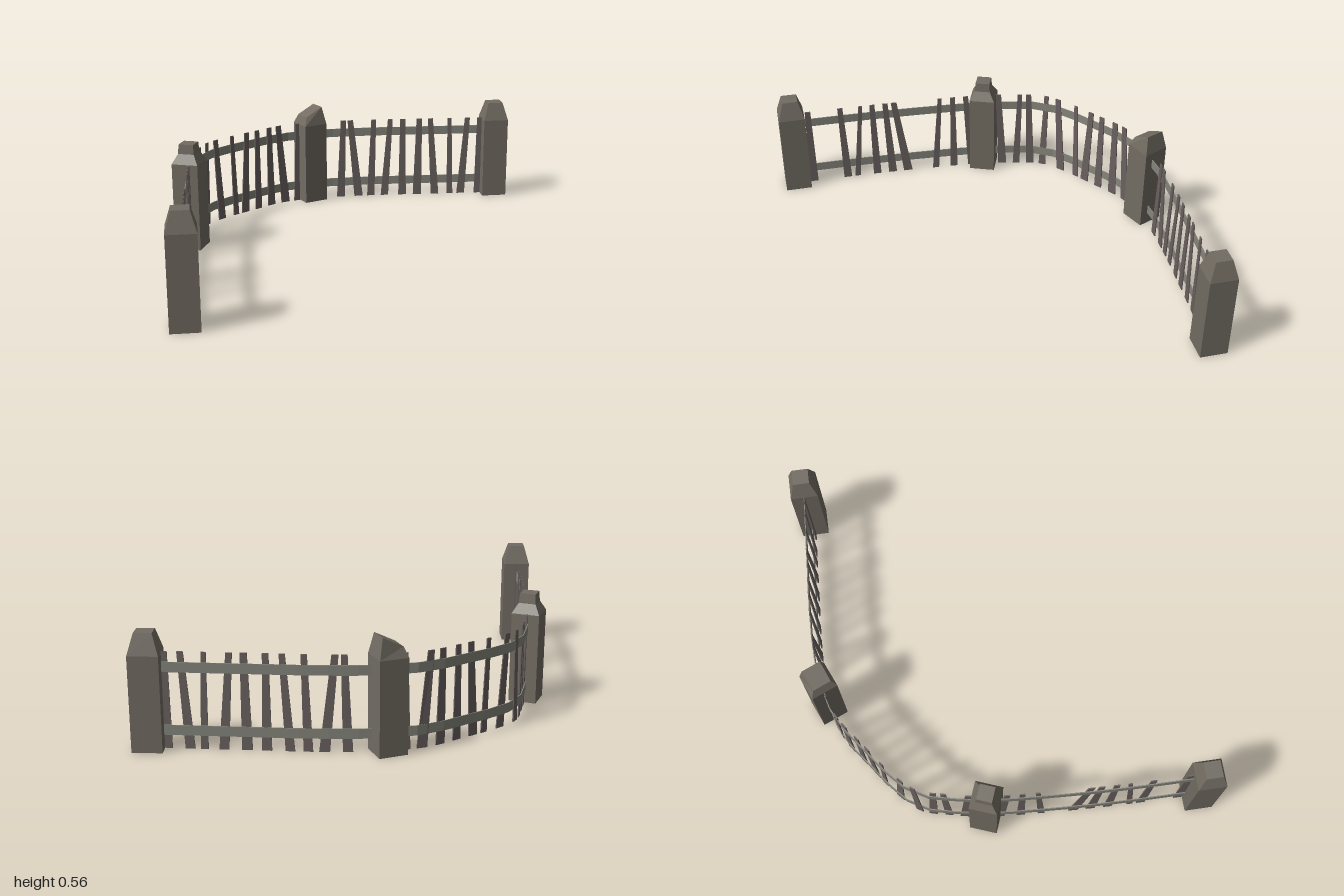
import * as THREE from 'three';

const mat = (color) => new THREE.MeshStandardMaterial({ color, flatShading: true, side: THREE.DoubleSide });
const postMat = mat(0x726c62), picketMat = mat(0x6a6160), railMat = mat(0x85857c);

// Ground line of the fence, as [x, z]
const line = new THREE.CatmullRomCurve3([
  [-0.925, 0.92], [-0.92, 0.5], [-0.905, 0.15], [-0.88, -0.17], [-0.845, -0.35], [-0.8, -0.5],
  [-0.7, -0.61], [-0.52, -0.745], [-0.37, -0.85], [-0.26, -0.89], [-0.1, -0.92], [0.13, -0.928],
  [0.5, -0.912], [0.92, -0.89],
].map(([x, z]) => new THREE.Vector3(x, 0, z)));
const STEPS = 400;
const samples = line.getSpacedPoints(STEPS);

// Point, direction and inward normal where the line reaches a given x or z
function frameAt(t) {
  const p = line.getPointAt(t), dir = line.getTangentAt(t);
  return { p, dir, inward: new THREE.Vector3(-dir.z, 0, dir.x) };
}
function find(axis, value) {
  const i = samples.findIndex((s) => (axis === 'x' ? s.x >= value : s.z <= value));
  return frameAt(Math.max(i, 0) / STEPS);
}

// Skin over four-cornered rings, with optional end caps
function loft(rings, capStart, capEnd) {
  const index = [];
  for (let i = 0; i < rings.length - 1; i++) {
    for (let j = 0; j < 4; j++) {
      const a = i * 4 + j, b = i * 4 + (j + 1) % 4;
      index.push(a, b, b + 4, a, b + 4, a + 4);
    }
  }
  const e = (rings.length - 1) * 4;
  if (capStart) index.push(0, 2, 1, 0, 3, 2);
  if (capEnd) index.push(e, e + 1, e + 2, e, e + 2, e + 3);
  const g = new THREE.BufferGeometry().setFromPoints(rings.flat());
  g.setIndex(index);
  g.computeVertexNormals();
  return g;
}

function add(parent, name, geometry, material) {
  const m = new THREE.Mesh(geometry, material);
  m.name = name;
  parent.add(m);
  return m;
}

// Square post, open below; sections are [height, half width, slope]
function addPost(parent, x, z, angle, sections) {
  const rings = sections.map(([y, h, slope = 0]) =>
    [[-h, h], [h, h], [h, -h], [-h, -h]].map(([px, pz]) => new THREE.Vector3(px, y + slope * px, pz)));
  const post = add(parent, 'post', loft(rings, false, true), postMat);
  post.position.set(x, 0, z);
  post.rotation.y = angle;
}

// Flat rail following the line
function addRail(parent, name, y, t0, t1) {
  const h = 0.024, d = 0.0025, n = 24, rings = [];
  for (let i = 0; i <= n; i++) {
    const { p, inward } = frameAt(t0 + (t1 - t0) * i / n);
    rings.push([[-h, -d], [h, -d], [h, d], [-h, d]].map(([u, v]) =>
      p.clone().addScaledVector(inward, v).setY(y + u)));
  }
  add(parent, name, loft(rings, true, true), railMat);
}

// Tapered, leaning picket on the inner side of the rails
function addPicket(parent, axis, bottom, top, wide) {
  const ring = (value, y, w) => {
    const { p, dir, inward } = find(axis, value);
    return [[-w, 0.009], [w, 0.009], [w, 0.003], [-w, 0.003]].map(([u, v]) =>
      p.clone().addScaledVector(dir, u).addScaledVector(inward, v).setY(y));
  };
  const rings = [ring(bottom, 0, wide / 2), ring(top, 0.465, wide * 0.32)];
  add(parent, 'picket', loft(rings, true, true), picketMat);
}

export function createModel() {
  const fence = new THREE.Group();
  fence.name = 'fence';

  // Posts: plain, stepped and slanted tops
  const posts = new THREE.Group();
  posts.name = 'posts';
  const plain = [[0, 0.071], [0.46, 0.071], [0.56, 0.042]];
  addPost(posts, -0.925, 0.922, 0, plain);
  addPost(posts, -0.88, -0.17, -0.37, [[0, 0.07], [0.46, 0.07], [0.51, 0.043], [0.56, 0.039]]);
  addPost(posts, -0.173, -0.912, 0.4, [[0, 0.07], [0.46, 0.07], [0.535, 0.05, 0.5]]);
  addPost(posts, 0.92, -0.887, 0, plain);

  // Rails
  const rails = new THREE.Group();
  rails.name = 'rails';
  addRail(rails, 'lowerRail', 0.09, 0, 1);
  addRail(rails, 'upperRail', 0.392, 0, 1);

  // Pickets: [bottom, top, width] measured along z or x
  const pickets = new THREE.Group();
  pickets.name = 'pickets';
  const rows = {
    z: [[0.83, 0.835, 0.048], [0.64, 0.65, 0.045], [0.58, 0.54, 0.032], [0.465, 0.47, 0.044],
      [0.375, 0.395, 0.046], [0.28, 0.35, 0.05], [0.115, 0.085, 0.036], [0.015, 0.015, 0.042],
      [-0.095, -0.065, 0.045], [-0.275, -0.25, 0.048], [-0.355, -0.37, 0.04], [-0.435, -0.42, 0.046],
      [-0.5, -0.52, 0.04]],
    x: [[-0.715, -0.74, 0.05], [-0.635, -0.645, 0.036], [-0.58, -0.56, 0.05], [-0.5, -0.5, 0.046],
      [-0.42, -0.43, 0.05], [-0.335, -0.37, 0.052], [-0.265, -0.26, 0.034],
      [0.005, 0.02, 0.047], [0.11, 0.06, 0.05], [0.185, 0.2, 0.044], [0.265, 0.3, 0.044],
      [0.375, 0.37, 0.046], [0.46, 0.47, 0.05], [0.57, 0.535, 0.046], [0.66, 0.65, 0.036],
      [0.725, 0.76, 0.046], [0.83, 0.83, 0.048]],
  };
  for (const [axis, list] of Object.entries(rows)) {
    for (const [bottom, top, wide] of list) addPicket(pickets, axis, bottom, top, wide);
  }

  fence.add(posts, rails, pickets);
  return fence;
}
